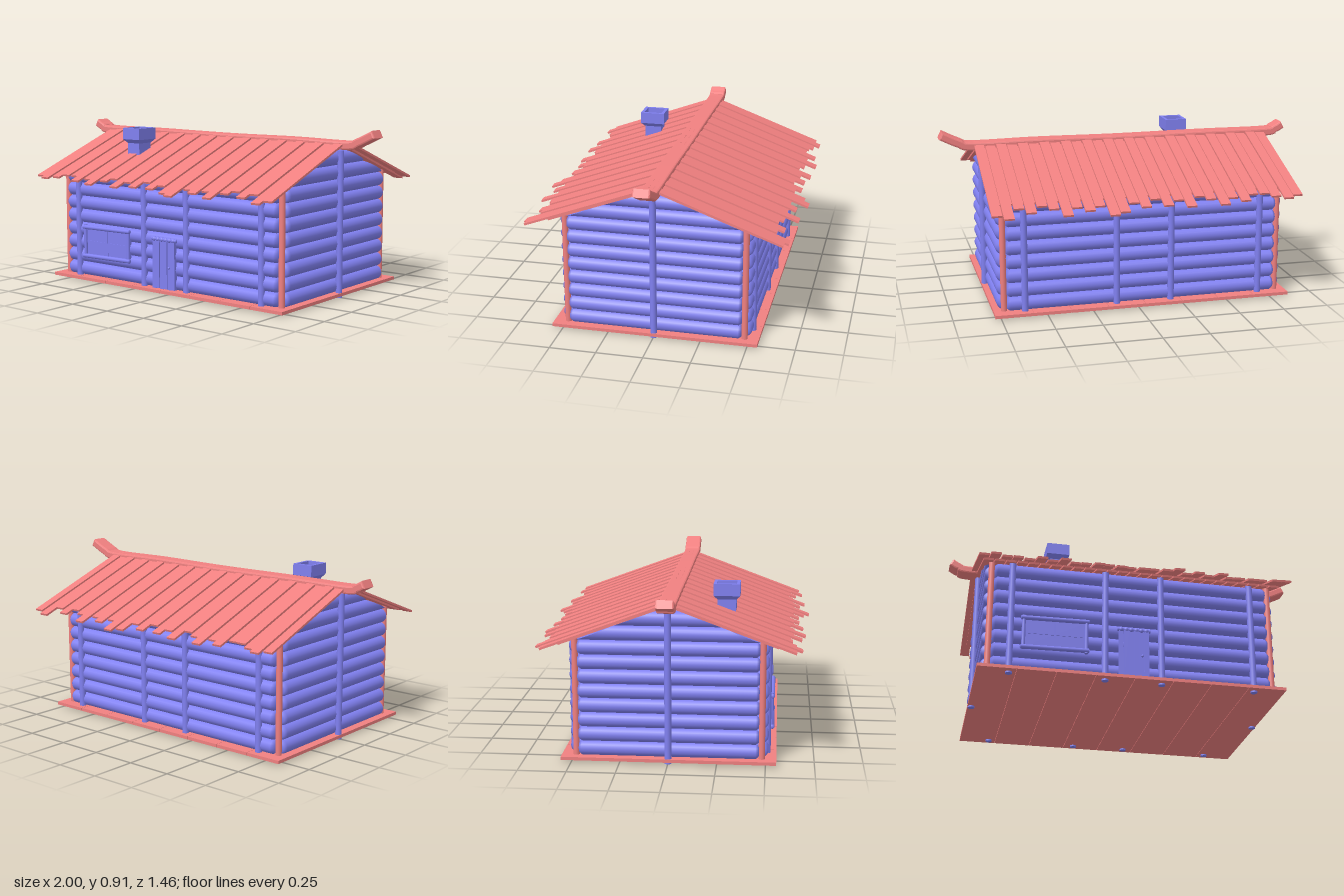
import * as THREE from 'three';

const RED = new THREE.MeshStandardMaterial({ color: 0xf08080, flatShading: true });
const BLUE = new THREE.MeshStandardMaterial({ color: 0x8080f0 });
const BLUE_FLAT = new THREE.MeshStandardMaterial({ color: 0x8080f0, flatShading: true, side: THREE.DoubleSide });
const RED_SMOOTH = new THREE.MeshStandardMaterial({ color: 0xf08080 });

const MID = -0.033;               // middle of the house along x
const HALF_X = 0.76, HALF_Z = 0.48; // wall centre lines
const PITCH = 0.0766, LOG_R = 0.0395, BASE = 0.025;

function add(parent, name, geometry, material, x = 0, y = 0, z = 0) {
  const mesh = new THREE.Mesh(geometry, material);
  mesh.name = name;
  mesh.position.set(x, y, z);
  parent.add(mesh);
  return mesh;
}

function box(parent, name, w, h, d, material, x, y, z) {
  return add(parent, name, new THREE.BoxGeometry(w, h, d), material, x, y, z);
}

function post(parent, name, r, y0, y1, material, x, z) {
  return add(parent, name, new THREE.CylinderGeometry(r, r, y1 - y0, 16), material, x, (y0 + y1) / 2, z);
}

// Horizontal log with softened ends, lying along x or z
function log(parent, name, r, length, alongX, x, y, z) {
  const h = length / 2, e = r * 0.4;
  const profile = [[0, -h], [r * 0.7, -h], [r, e - h], [r, h - e], [r * 0.7, h], [0, h]];
  const geo = new THREE.LatheGeometry(profile.map(p => new THREE.Vector2(...p)), 20);
  if (alongX) geo.rotateZ(Math.PI / 2); else geo.rotateX(Math.PI / 2);
  return add(parent, name, geo, BLUE, x, y, z);
}

function buildWalls(group) {
  const walls = new THREE.Group();
  walls.name = 'walls';
  group.add(walls);
  for (const s of [-1, 1]) {
    for (let i = 0; i < 8; i++) {
      const y = BASE + PITCH * (i + 0.5);
      log(walls, 'longWallLog', LOG_R, 2 * HALF_X - 0.03, true, MID, y, s * (HALF_Z - 0.005));
      log(walls, 'gableWallLog', LOG_R, 2 * HALF_Z - 0.03, false, MID + s * (HALF_X - 0.005), y, 0);
    }
    // Gable logs, their ends cut to the roof slope
    for (const y of [0.676, 0.753]) {
      const geo = new THREE.CylinderGeometry(LOG_R, LOG_R, 2, 20).rotateX(Math.PI / 2);
      const p = geo.attributes.position;
      for (let i = 0; i < p.count; i++) {
        const reach = 0.46 - (p.getY(i) + y - 0.643) * 2.5;
        p.setZ(i, p.getZ(i) * Math.max(reach, 0.05));
      }
      geo.computeVertexNormals();
      add(walls, 'gableTopLog', geo, BLUE, MID + s * (HALF_X - 0.005), y, 0);
    }
    // Posts
    for (const x of [-0.684, -0.184, 0.118, 0.618]) post(walls, 'wallPost', 0.018, 0, 0.637, BLUE, x, s * 0.507);
    post(walls, 'gablePost', 0.018, 0, 0.797, BLUE, MID + s * 0.797, 0);
    for (const t of [-1, 1]) post(walls, 'cornerPost', 0.0165, 0.02, 0.657, RED_SMOOTH, MID + s * HALF_X, t * HALF_Z);
  }
}

function buildFloor(group) {
  const n = 8, w = 1.634 / n;
  for (let i = 0; i < n; i++) {
    box(group, 'floorBoard', w - 0.002, 0.017, 1.11, RED, MID + (i - (n - 1) / 2) * w, 0.0175, 0);
  }
}

// Board lying on the roof slope from z0 to z1, on the side s
const SLOPE = 0.37, TILT = Math.atan(SLOPE);
function roofBoard(parent, name, x, width, z0, z1, lift, s) {
  const zc = (z0 + z1) / 2;
  const board = box(parent, name, width, 0.011, (z1 - z0) / Math.cos(TILT), RED, x, 0.845 + lift - SLOPE * zc, s * zc);
  board.rotation.x = s * TILT;
}

function buildRoof(group) {
  const roof = new THREE.Group();
  roof.name = 'roof';
  group.add(roof);
  const ends = [65, 68, 65, 63, 62, 68, 64, 70, 64, 62, 69, 64, 67, 62, 67, 64, 70, 73, 64, 68, 64, 71, 64, 62, 66, 63, 70, 68];
  for (const s of [-1, 1]) {
    ends.forEach((end, i) => {
      const x = -0.847 + i * 0.0602;
      roofBoard(roof, 'roofBoard', x, 0.0535, 0.01, end / 100 - 0.003, i % 2 ? 0.002 : -0.004, s);
      if (i < ends.length - 1) roofBoard(roof, 'underBoard', x + 0.03, 0.052, 0.01, 0.558, -0.015, s);
    });
  }

  // Ridge beam with upturned ends
  const path = new THREE.SplineCurve([
    [-0.982, 0.862], [-0.945, 0.842], [-0.885, 0.827], [-0.5, 0.828], [0, 0.825], [0.45, 0.829],
    [0.81, 0.826], [0.89, 0.847], [0.978, 0.889],
  ].map(p => new THREE.Vector2(...p)));
  const top = [], bottom = [];
  for (let i = 0; i <= 48; i++) {
    const p = path.getPoint(i / 48), t = path.getTangent(i / 48);
    const n = new THREE.Vector2(-t.y, t.x).multiplyScalar(0.013);
    top.push(p.clone().add(n));
    bottom.unshift(p.clone().sub(n));
  }
  const ridge = new THREE.ExtrudeGeometry(new THREE.Shape([...top, ...bottom]), {
    depth: 0.076, bevelEnabled: true, bevelSize: 0.009, bevelThickness: 0.009, bevelSegments: 2,
  });
  add(roof, 'ridgeBeam', ridge, RED, 0, 0, -0.038);
}

// Hollow four-sided chimney with a wider head
function buildChimney(group) {
  const profile = [[0.049, 0.69], [0.049, 0.79], [0.07, 0.812], [0.07, 0.876], [0.052, 0.876], [0.052, 0.815], [0.035, 0.79], [0.035, 0.70], [0, 0.70]];
  const geo = new THREE.LatheGeometry(profile.map(([r, y]) => new THREE.Vector2(r * Math.SQRT2, y)), 4);
  geo.rotateY(Math.PI / 4).scale(0.89, 1, 1);
  add(group, 'chimney', geo, BLUE_FLAT, -0.421, 0, 0.28);
}

function buildWindow(group) {
  const win = new THREE.Group();
  win.name = 'window';
  group.add(win);
  const x = -0.452, y = 0.232;
  box(win, 'windowPane', 0.33, 0.165, 0.02, BLUE_FLAT, x, y, 0.51);
  const topLog = log(win, 'windowTopRail', 0.012, 0.362, true, x, 0.316, 0.53);
  topLog.rotation.z = 0.015;
  const sill = log(win, 'windowSill', 0.012, 0.362, true, x, 0.15, 0.53);
  sill.rotation.z = 0.015;
  for (const s of [-1, 1]) post(win, 'windowSidePost', 0.01, 0.138, 0.328, BLUE, x + s * 0.165, 0.527);
  box(win, 'windowMullion', 0.007, 0.16, 0.006, BLUE_FLAT, x, y, 0.52);
  box(win, 'windowCrossbar', 0.32, 0.006, 0.006, BLUE_FLAT, x, y, 0.52);
}

function buildDoor(group) {
  const door = new THREE.Group();
  door.name = 'door';
  group.add(door);
  for (let i = 0; i < 6; i++) {
    const x = -0.1 + i * 0.0272;
    box(door, 'doorPlank', 0.025, 0.27 - (i % 2) * 0.006, 0.02, BLUE_FLAT, x, 0.161, 0.512 + (i % 2) * 0.004);
    add(door, 'doorTopKnot', new THREE.SphereGeometry(0.013, 12, 8), BLUE, x, 0.3, 0.518);
  }
  log(door, 'doorLintel', 0.01, 0.18, true, -0.032, 0.3, 0.515);
  add(door, 'doorKnob', new THREE.SphereGeometry(0.007, 12, 8), BLUE, 0.011, 0.15, 0.53);
}

export function createModel() {
  const cabin = new THREE.Group();
  cabin.name = 'logCabin';
  buildFloor(cabin);
  buildWalls(cabin);
  buildRoof(cabin);
  buildChimney(cabin);
  buildWindow(cabin);
  buildDoor(cabin);
  return cabin;
}
